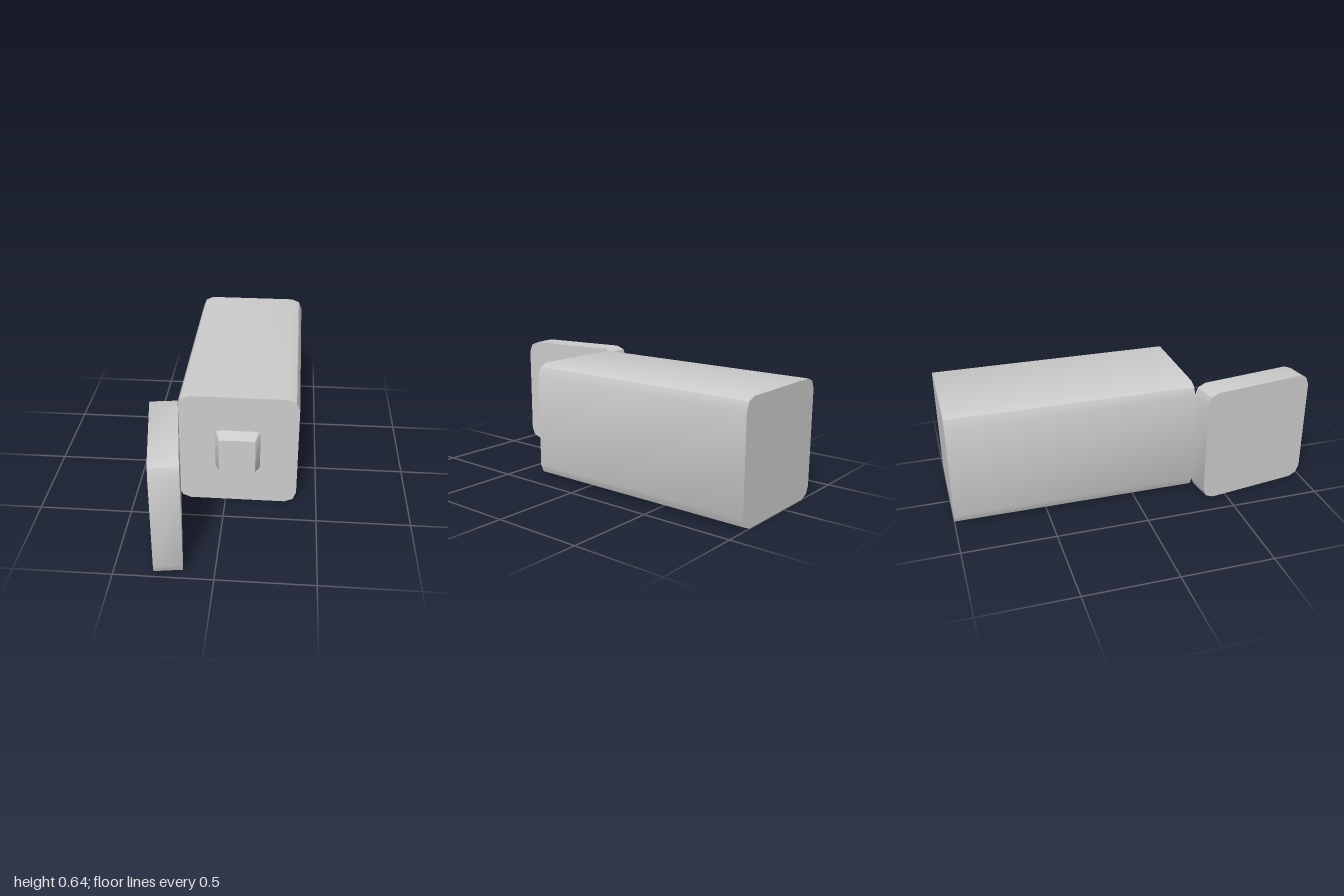
import * as THREE from 'three';
import { toCreasedNormals } from 'three/addons/utils/BufferGeometryUtils.js';

const SIZE = 0.645; // side of the square section
const CORNER = 0.098; // corner radius as a share of the side
const CREASE = 0.52; // smooths arc into flat side, keeps the middle corner edge sharp

// Square centred on the origin, each corner rounded in two steps
function roundedSquare(size) {
  const r = size * CORNER, c = size / 2 - r, points = [];
  for (let corner = 0; corner < 4; corner++) {
    const mid = Math.PI / 4 + corner * Math.PI / 2;
    const cx = c * Math.sign(Math.cos(mid)), cy = c * Math.sign(Math.sin(mid));
    for (let step = -1; step <= 1; step++) {
      const a = mid + step * Math.PI / 4;
      points.push(new THREE.Vector2(cx + r * Math.cos(a), cy + r * Math.sin(a)));
    }
  }
  return new THREE.Shape(points);
}

// Prism along +z from z = 0, its far end scaled by taper
function prism(size, depth, taper = 1) {
  const geometry = new THREE.ExtrudeGeometry(roundedSquare(size), { depth, bevelEnabled: false });
  const p = geometry.attributes.position;
  for (let i = 0; i < p.count; i++) {
    if (p.getZ(i) > depth / 2) p.setXY(i, p.getX(i) * taper, p.getY(i) * taper);
  }
  return toCreasedNormals(geometry, CREASE);
}

export function createModel() {
  const model = new THREE.Group();
  model.name = 'boxWithOpenDoor';
  const material = new THREE.MeshStandardMaterial({ color: 0xcccccc });
  const add = (name, geometry, x, y, z) => {
    const mesh = new THREE.Mesh(geometry, material);
    mesh.name = name;
    mesh.position.set(x, y, z);
    model.add(mesh);
    return mesh;
  };

  // Long body and the tapered plug on its front
  add('body', prism(SIZE, 1.341), 0.0665, SIZE / 2, -1);
  add('plug', prism(0.242, 0.063, 0.81), 0.0665, 0.324, 0.341);

  // Door hinged on the front edge, swung wide open
  const slab = prism(SIZE, 0.145);
  slab.translate(SIZE / 2, 0, 0).rotateY(-Math.PI / 2);
  add('door', slab, -0.2466, SIZE / 2, 0.341).rotation.y = 0.147;

  return model;
}
